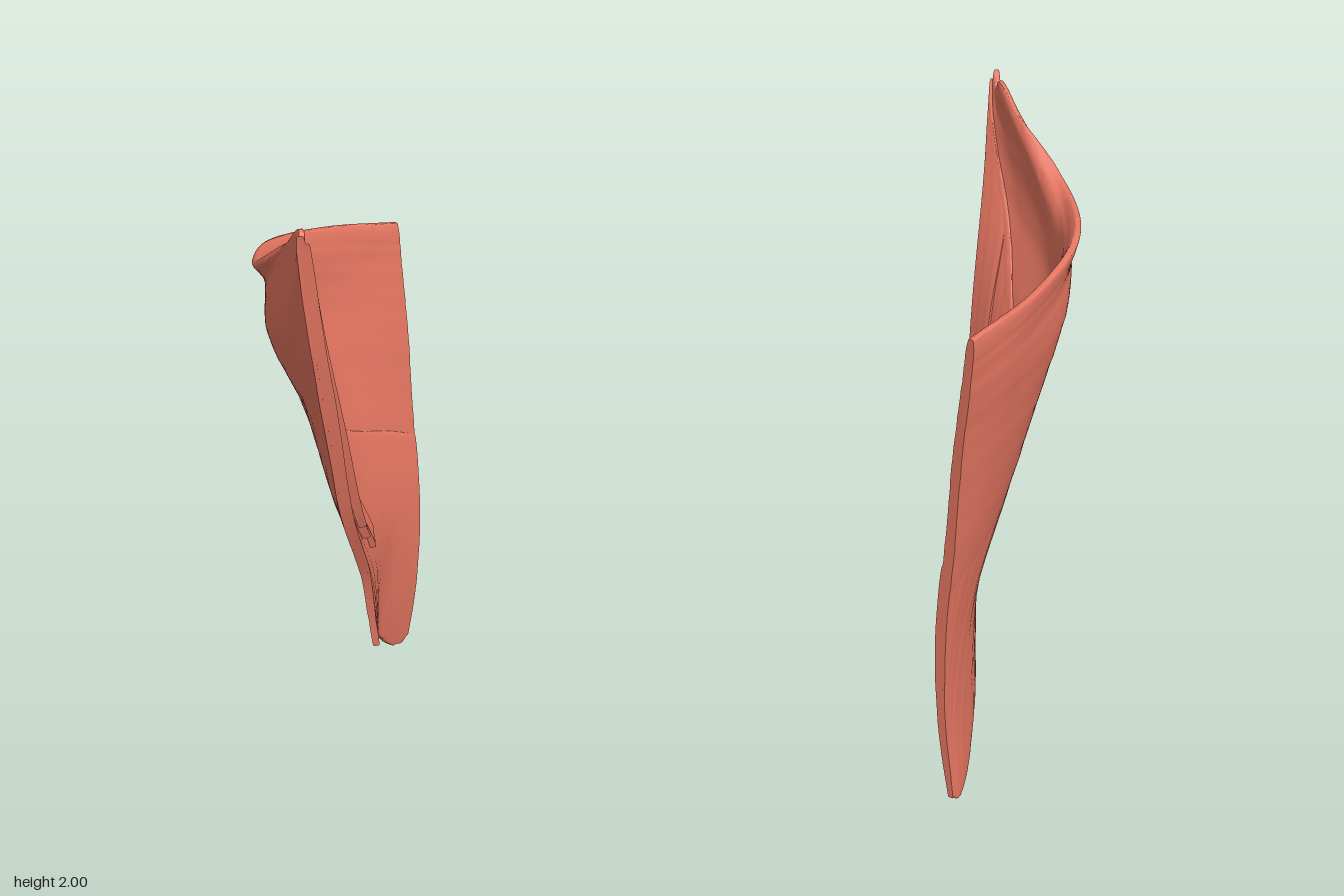
import * as THREE from 'three';
import { toCreasedNormals } from 'three/addons/utils/BufferGeometryUtils.js';

const V = (x, y, z) => new THREE.Vector3(x, y, z);
const { clamp, smoothstep } = THREE.MathUtils;

// Cross-sections of the curved sheet, from the ragged lower edge to the rim with its split tip
const rows = [
  [[.028, .355, .12], [.1, .315, .055], [.17, .25, 0], [.26, .13, -.04], [.4, -.005, -.08], [.445, .01, -.075]],
  [[.008, .5, .112], [.08, .47, .06], [.17, .43, 0], [.28, .37, -.043], [.4, .32, -.053], [.445, .31, -.05]],
  [[-.028, .68, .115], [.05, .67, .06], [.15, .66, 0], [.28, .64, -.05], [.39, .62, -.06], [.445, .62, -.055]],
  [[-.17, 1, .16], [-.08, 1, .048], [.06, .98, -.06], [.2, .97, -.105], [.35, .96, -.107], [.445, .96, -.09]],
  [[-.278, 1.35, .2], [-.19, 1.33, .055], [-.06, 1.3, -.095], [.12, 1.28, -.17], [.3, 1.26, -.158], [.445, 1.25, -.118]],
  [[-.378, 1.72, .228], [-.315, 1.62, .08], [-.2, 1.56, -.08], [.02, 1.53, -.207], [.27, 1.48, -.197], [.445, 1.45, -.145]],
  [[-.432, 2, .235], [-.405, 1.955, .215], [-.382, 1.985, .195], [-.335, 1.9, .1], [-.27, 1.77, -.065],
    [-.06, 1.71, -.213], [.2, 1.65, -.227], [.445, 1.595, -.162]],
].map(r => new THREE.CatmullRomCurve3(r.map(p => V(...p))));

const column = u => new THREE.CatmullRomCurve3(rows.map(r => r.getPoint(clamp(u, 0, 1))));

// Upper border of the lower layer, as height v across the sheet u
const border = new THREE.SplineCurve([[0, .985], [.12, .82], [.29, .63], [.5, .54], [.75, .49], [1, .46]]
  .map(p => new THREE.Vector2(...p)));
const borderAt = u => {
  let a = 0, b = 1;
  for (let k = 0; k < 18; k++) {
    const m = (a + b) / 2;
    if (border.getPoint(m).x < u) a = m; else b = m;
  }
  return border.getPoint(a).y;
};

// Fine grooves that follow the fibres
const fibre = w => Math.sin(w * 95) * .5 + Math.sin(w * 173 + 1.3) * .35 + Math.sin(w * 41 + 2) * .5;

// Closed slab following the sheet between v0(u) and v1(u); half(u, v) is half its thickness
function slab({ u0 = 0, u1 = 1, v0, v1, half, lift = () => 0, nu = 100, nv = 150, round = .3 }) {
  const pos = [], index = [], e = .004;
  for (let i = -1; i <= nu + 1; i++) {
    const cap = i < 0 || i > nu;
    const u = u0 + (u1 - u0) * clamp(i / nu, 0, 1);
    const c = column(u), ca = column(u - e), cb = column(u + e);
    const lo = v0(u), hi = v1(u);
    for (let j = 0; j < nv; j++) {
      const t = j / nv * Math.PI * 2, s = (1 - Math.cos(t)) / 2;
      const v = clamp(lo + (hi - lo) * s, 0, 1);
      const du = cb.getPoint(v).sub(ca.getPoint(v));
      const dv = c.getPoint(Math.min(1, v + e)).sub(c.getPoint(Math.max(0, v - e)));
      const n = du.cross(dv).normalize();
      const sn = Math.sin(t);
      const h = cap ? 0 : Math.sign(sn) * Math.pow(Math.abs(sn), round) * half(u, v);
      const p = c.getPoint(v).addScaledVector(n, lift(s) + h);
      pos.push(p.x, p.y, p.z);
    }
  }
  for (let i = 0; i < nu + 2; i++) for (let j = 0; j < nv; j++) {
    const k = (j + 1) % nv;
    const a = i * nv + j, b = a + nv, c = (i + 1) * nv + k, d = i * nv + k;
    index.push(a, b, c, a, c, d);
  }
  const g = new THREE.BufferGeometry();
  g.setAttribute('position', new THREE.Float32BufferAttribute(pos, 3));
  g.setIndex(index);
  return toCreasedNormals(g, .8);
}

export function createModel() {
  const group = new THREE.Group();
  const material = new THREE.MeshStandardMaterial({ color: 0xe2745f });
  const add = (name, geometry) => {
    const mesh = new THREE.Mesh(geometry, material);
    mesh.name = name;
    group.add(mesh);
  };
  const ragged = u => .003 * (1 + Math.sin(u * 31 + 2.5) * .7 + Math.sin(u * 67) * .3);

  // Upper sheet with its rolled rim, fibres running across; thin where the lower layer covers it
  add('upperSheet', slab({
    v0: ragged, v1: () => 1,
    half: (u, v) => .008 + .009 * smoothstep(v, borderAt(u) - .12, borderAt(u) - .02)
      + .0012 * fibre(v + .12 * u),
  }));

  // Lower layer, thickest at its upper border, fibres fanning down to the narrow end
  add('lowerLayer', slab({
    v0: ragged, v1: borderAt, round: .18, lift: s => .004 * s,
    half: (u, v) => .013 + .011 * smoothstep(v, .1, borderAt(u) - .05) * (1 - .3 * u)
      + .001 * fibre(u * .7 + v * .4),
  }));

  // Three overlapping slips with oblique square ends near the narrow side
  const slips = [[.005, .12, .465, .03, .5], [.1, .21, .405, .025, .4], [.195, .285, .36, .02, .25]];
  for (const [u0, u1, end, height, slope] of slips) add('slip', slab({
    u0, u1, v0: u => end + (u - u0) * slope, v1: u => borderAt(u) - .01,
    lift: s => .008 + height * (1 - s),
    half: u => .014 + .0008 * fibre(u * 1.5),
    nu: 14, nv: 80, round: .12,
  }));

  return group;
}
